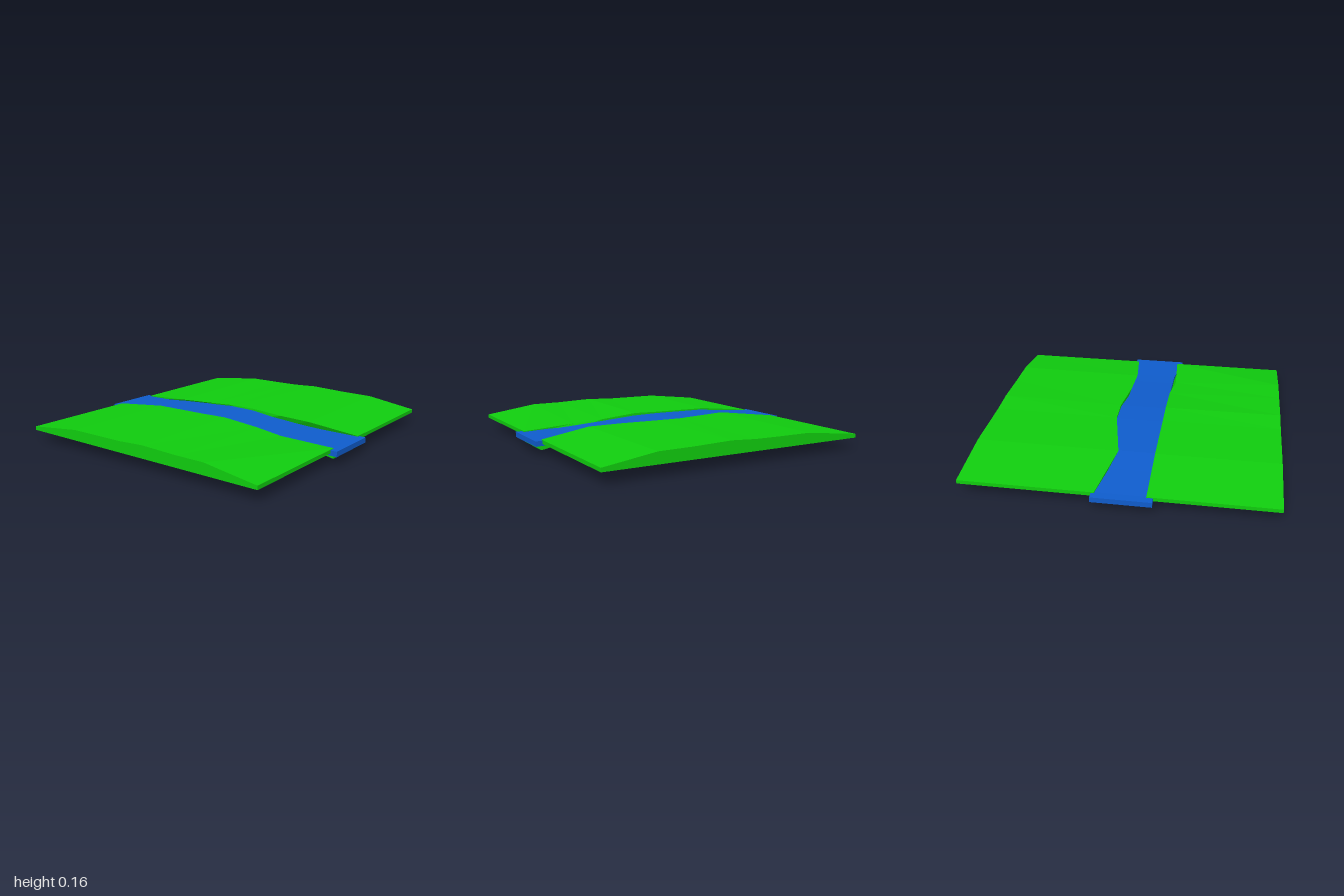
import * as THREE from 'three';

const GREEN = 0x10cc0e, BLUE = 0x0f5ccc;

// Faceted solid lofted along x; each section is { x, ring: [[z, y], ...] },
// with the ring running along the bottom towards +z and back over the top.
function loft(name, color, sections) {
  const pos = [];
  const n = sections[0].ring.length;
  const tri = (...pts) => pts.forEach(p => pos.push(...p));
  const pt = (i, j) => {
    const s = sections[i], [z, y] = s.ring[j % n];
    return [s.x, y, z];
  };
  const last = sections.length - 1;
  for (let i = 0; i < last; i++) {
    for (let j = 0; j < n; j++) {
      const a = pt(i, j), b = pt(i, j + 1), c = pt(i + 1, j + 1), d = pt(i + 1, j);
      tri(a, c, b);
      tri(a, d, c);
    }
  }
  // end caps
  for (let j = 1; j < n - 1; j++) {
    tri(pt(0, 0), pt(0, j), pt(0, j + 1));
    tri(pt(last, 0), pt(last, j + 1), pt(last, j));
  }
  const geo = new THREE.BufferGeometry();
  geo.setAttribute('position', new THREE.Float32BufferAttribute(pos, 3));
  geo.computeVertexNormals();
  const mesh = new THREE.Mesh(geo, new THREE.MeshStandardMaterial({
    color, flatShading: true, side: THREE.DoubleSide,
  }));
  mesh.name = name;
  return mesh;
}

export function createModel() {
  const group = new THREE.Group();
  group.name = 'riverTerrain';
  const base = 0.075;

  // Front bank: x, outer height, inner height, inner edge z
  const front = [
    [-0.93, 0.10, 0.10, 0.19], [-0.52, 0.147, 0.145, 0.19], [-0.1, 0.15, 0.15, 0.19],
    [0.08, 0.16, 0.155, 0.19], [0.35, 0.152, 0.132, 0.19], [0.56, 0.152, 0.116, 0.215],
    [0.93, 0.10, 0.10, 0.19],
  ];
  group.add(loft('frontBank', GREEN, front.map(([x, outer, inner, z]) => ({
    x, ring: [[0.19, base], [1, base], [1, outer], [z, inner]],
  }))));

  // Back bank: x, outer height, inner height, inner edge z
  const back = [
    [-0.93, 0.10, 0.10, -0.13], [-0.52, 0.147, 0.145, -0.05], [-0.27, 0.148, 0.147, -0.10],
    [-0.1, 0.15, 0.148, -0.135], [0.08, 0.16, 0.15, -0.135], [0.35, 0.152, 0.147, -0.10],
    [0.58, 0.15, 0.145, -0.09], [0.93, 0.10, 0.10, -0.13],
  ];
  group.add(loft('backBank', GREEN, back.map(([x, outer, inner, z]) => ({
    x, ring: [[-1, base], [-0.13, base], [z, inner], [-1, outer]],
  }))));

  // River bed: x, underside height, underside height at the front lip
  const bed = [
    [-0.93, 0.03, 0.03], [-0.7, 0.079, 0.03], [-0.45, 0.03, 0.03], [-0.23, 0.0, 0.0],
    [0, 0.07, 0.07], [0.23, 0.042, 0.042], [0.45, 0.05, 0.05], [0.69, 0.077, 0.077],
    [0.93, 0.03, 0.03],
  ];
  group.add(loft('riverBed', GREEN, bed.map(([x, y, lip]) => ({
    x, ring: [[-0.13, y], [0.17, y], [0.19, lip], [0.19, 0.08], [-0.13, 0.08]],
  }))));

  // Water: x, underside height, surface height, back z, front z
  const water = [
    [-0.975, 0.06, 0.095, -0.15, 0.23], [-0.92, 0.062, 0.096, -0.15, 0.23],
    [-0.68, 0.075, 0.115, -0.15, 0.22], [-0.5, 0.085, 0.135, -0.15, 0.195],
    [-0.1, 0.1, 0.14, -0.15, 0.195], [0.1, 0.1, 0.137, -0.15, 0.195],
    [0.38, 0.085, 0.118, -0.15, 0.19], [0.56, 0.08, 0.107, -0.15, 0.19],
    [0.68, 0.073, 0.101, -0.15, 0.19], [0.92, 0.062, 0.096, -0.15, 0.23],
    [0.975, 0.06, 0.095, -0.15, 0.23],
  ];
  group.add(loft('water', BLUE, water.map(([x, low, top, z0, z1]) => ({
    x, ring: [[z0, low], [z1, low], [z1, top], [z0, top]],
  }))));

  return group;
}
